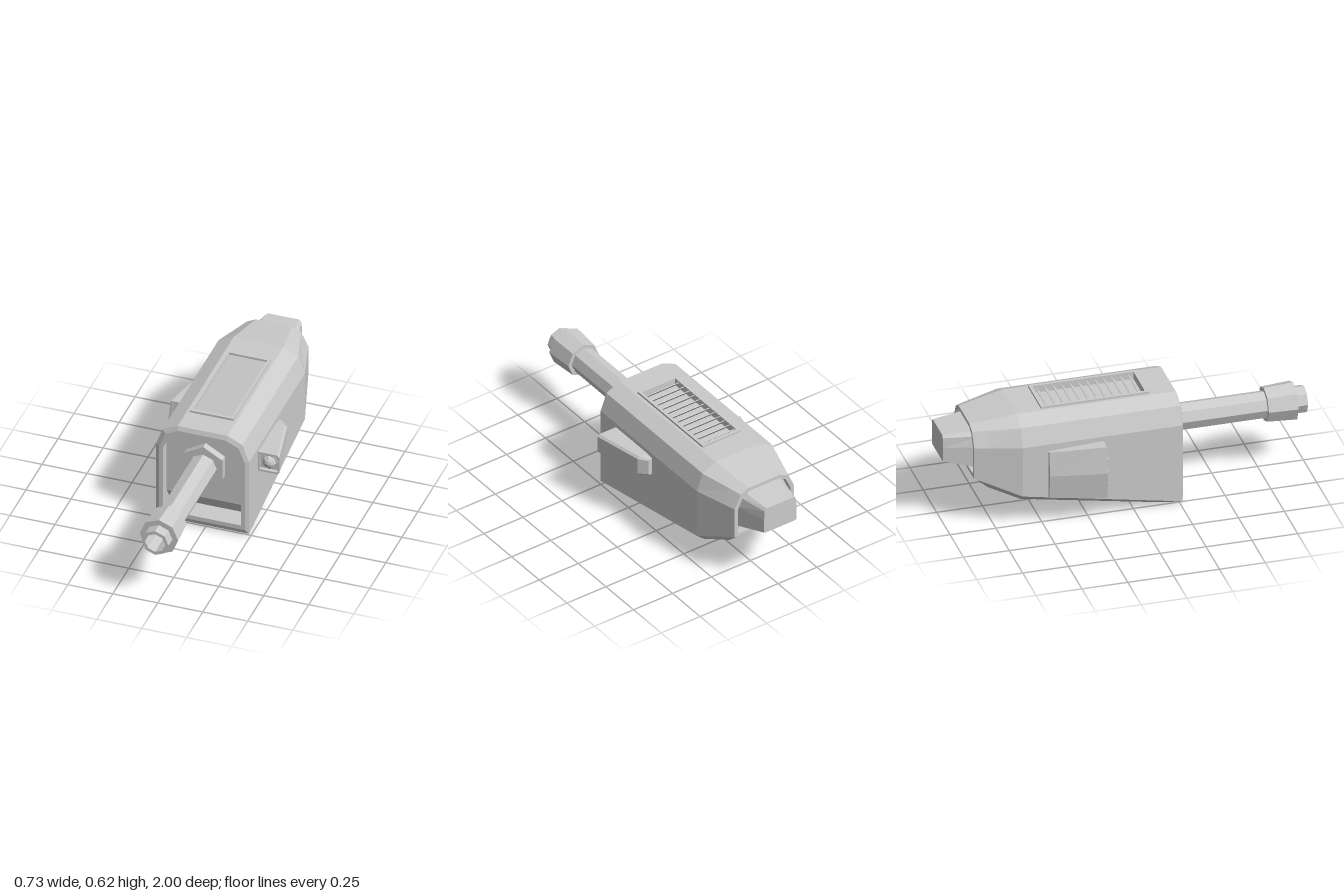
import * as THREE from 'three';

const grey = new THREE.MeshStandardMaterial({ color: 0xcccccc, flatShading: true });

function add(parent, name, geometry) {
  const mesh = new THREE.Mesh(geometry, grey);
  mesh.name = name;
  parent.add(mesh);
  return mesh;
}

// Skin closed rings of [x, y, z] points (clockwise seen from +z) and cap both ends.
function loft(rings, skip = () => false) {
  const out = [];
  const tri = (a, b, c) => out.push(...a, ...b, ...c);
  const middle = (ring) => [0, 1, 2].map((k) => ring.reduce((s, p) => s + p[k], 0) / ring.length);
  const n = rings[0].length;
  const first = rings[0], last = rings[rings.length - 1];
  const m0 = middle(first), m1 = middle(last);
  for (let i = 0; i < n; i++) {
    const j = (i + 1) % n;
    for (let r = 0; r < rings.length - 1; r++) {
      if (skip(r, i)) continue;
      const a = rings[r], b = rings[r + 1];
      tri(a[i], a[j], b[i]);
      tri(a[j], b[j], b[i]);
    }
    tri(m0, first[j], first[i]);
    tri(m1, last[i], last[j]);
  }
  const g = new THREE.BufferGeometry();
  g.setAttribute('position', new THREE.Float32BufferAttribute(out, 3));
  g.computeVertexNormals();
  return g;
}

// Half outline from top to bottom, mirrored in x; a point may carry its own z.
function mirrored(z, half) {
  const right = half.map(([x, y, pz = z]) => [x, y, pz]);
  return [...right, ...right.map(([x, y, pz]) => [-x, y, pz]).reverse()];
}

// Faceted turned part lying along +z, with a corner pointing up.
function turned(profile, sides) {
  const g = new THREE.LatheGeometry(profile.map(([r, z]) => new THREE.Vector2(r, z)), sides);
  return g.rotateX(Math.PI / 2).rotateZ(Math.PI);
}

// Rectangle in x and -z with a rectangular hole, to be laid flat.
function rectangle(path, x, z0, z1) {
  path.moveTo(-x, -z1);
  path.lineTo(x, -z1);
  path.lineTo(x, -z0);
  path.lineTo(-x, -z0);
  path.closePath();
  return path;
}
function frameShape(x, z0, z1) {
  const shape = rectangle(new THREE.Shape(), x, z0, z1);
  shape.holes.push(rectangle(new THREE.Path(), 0.106, -0.45, 0.1));
  return shape;
}

function buildHull(parent) {
  const arch = [[0.13, 0.56], [0.19, 0.53], [0.217, 0.46]];
  const shoulder = [[0.138, 0.61], [0.222, 0.57], [0.2585, 0.47]];
  const rear = [[0.092, 0.552], [0.135, 0.53], [0.168, 0.46], [0.168, 0.308], [0.14, 0.305]];
  const rings = [
    // recessed front wall, undercut, opening and rim
    mirrored(0.21, [...arch, [0.217, 0.152], [0.18, 0.152]]),
    mirrored(0.21, [...arch, [0.217, 0.065, 0.15], [0.18, 0.065, 0.15]]),
    mirrored(0.27, [...arch, [0.217, 0.065], [0.18, 0.065]]),
    mirrored(0.27, [[0.13, 0.585], [0.203, 0.55], [0.238, 0.465], [0.238, 0.04], [0.2, 0.04]]),
    // outer skin
    mirrored(0.26, [...shoulder, [0.2585, 0.015], [0.215, 0.015]]),
    mirrored(0.17, [...shoulder, [0.2585, 0.032], [0.215, 0]]),
    mirrored(-0.61, [...shoulder, [0.2585, 0.18], [0.215, 0.143]]),
    mirrored(-0.78, [[0.112, 0.584], [0.172, 0.555], [0.211, 0.47], [0.211, 0.256], [0.17, 0.218]]),
    mirrored(-0.855, [[0.1, 0.572], [0.15, 0.548], [0.19, 0.47], [0.19, 0.288], [0.16, 0.286]]),
    // rear rim and recess
    mirrored(-0.855, rear),
    mirrored(-0.815, rear),
  ];
  // the undercut only spans the bottom edge, and the roof is a separate panel
  const skip = (r, i) => (r === 0 && (i < 3 || i > 5)) || ((r === 4 || r === 5) && i === 9);
  add(parent, 'hull', loft(rings, skip));
  const roof = new THREE.ShapeGeometry(frameShape(0.138, -0.61, 0.26));
  add(parent, 'roof', roof.rotateX(-Math.PI / 2).translate(0, 0.61, 0));
}

function buildVent(parent) {
  const vent = new THREE.Group();
  vent.name = 'vent';
  parent.add(vent);
  // deep frame whose inner walls form the well
  const frame = new THREE.ExtrudeGeometry(frameShape(0.122, -0.47, 0.12), { depth: 0.05, bevelEnabled: false });
  add(vent, 'ventFrame', frame.rotateX(-Math.PI / 2).translate(0, 0.572, 0));
  add(vent, 'ventFloor', new THREE.BoxGeometry(0.23, 0.01, 0.57)).position.set(0, 0.574, -0.175);
  for (let i = 0; i < 12; i++) {
    const slat = add(vent, 'ventSlat', new THREE.BoxGeometry(0.212, 0.004, 0.046));
    slat.position.set(0, 0.6, 0.078 - i * 0.0457);
    slat.rotation.x = 0.85;
  }
}

function buildBarrel(parent) {
  const barrel = new THREE.Group();
  barrel.name = 'barrel';
  barrel.position.y = 0.377;
  parent.add(barrel);
  add(barrel, 'barrelMount', turned([[0.123, 0.2], [0.123, 0.25], [0, 0.25]], 6));
  add(barrel, 'barrelTube', turned([
    [0.075, 0.22], [0.075, 0.78], [0.097, 0.78], [0.107, 0.94], [0.075, 0.94],
    [0.075, 1], [0.056, 1], [0.056, 0.85], [0, 0.85],
  ], 8));
}

function buildNozzle(parent) {
  add(parent, 'rearNozzle', loft([
    mirrored(-0.81, [[0.112, 0.535], [0.14, 0.51], [0.152, 0.45], [0.152, 0.325], [0.12, 0.322]]),
    mirrored(-1, [[0.088, 0.52], [0.1, 0.505], [0.104, 0.45], [0.104, 0.37], [0.09, 0.366]]),
  ]));
}

// Tapered sensor housing on the +x side, with a lens in a shallow recess
function buildSensor(parent) {
  const ring = (z, inner, outer, top, bottom, cut) => [
    [inner, top, z], [outer - cut, top, z], [outer, top - cut, z],
    [outer, bottom + cut, z], [outer - cut, bottom, z], [inner, bottom, z],
  ];
  const sensor = new THREE.Group();
  sensor.name = 'sensor';
  parent.add(sensor);
  add(sensor, 'sensorHousing', loft([
    ring(0.1, 0.266, 0.366, 0.436, 0.339, 0.003),
    ring(0.122, 0.266, 0.366, 0.436, 0.339, 0.003),
    ring(0.122, 0.245, 0.377, 0.447, 0.328, 0.012),
    ring(-0.16, 0.245, 0.32, 0.447, 0.33, 0.012),
    ring(-0.205, 0.245, 0.282, 0.44, 0.34, 0.008),
  ]));
  const lens = add(sensor, 'lens', turned([
    [0.046, 0], [0.046, 0.006], [0.038, 0.006], [0.034, 0.018], [0.02, 0.03], [0, 0.036],
  ], 8));
  lens.position.set(0.316, 0.386, 0.1);
}

// Wedge-shaped lamp housing on the -x side
function buildLamps(parent) {
  const ring = (z, inner, edge, ridge, top, bottom) => [
    [inner, top, z], [inner, bottom, z], [edge, bottom, z], [ridge, 0.295, z], [edge, top, z],
  ];
  const lamps = new THREE.Group();
  lamps.name = 'lamps';
  parent.add(lamps);
  add(lamps, 'lampHousing', loft([
    ring(-0.185, -0.25, -0.317, -0.333, 0.43, 0.157),
    ring(-0.17, -0.25, -0.317, -0.333, 0.43, 0.157),
    ring(-0.17, -0.245, -0.33, -0.348, 0.445, 0.142),
    ring(-0.47, -0.245, -0.275, -0.29, 0.43, 0.16),
  ]));
  for (const y of [0.35, 0.282, 0.212]) {
    const lamp = add(lamps, 'lamp', turned([
      [0.031, 0], [0.031, 0.018], [0.026, 0.018], [0.018, 0.028], [0, 0.034],
    ], 5));
    lamp.position.set(-0.293, y, -0.185);
  }
}

export function createModel() {
  const model = new THREE.Group();
  model.name = 'cannonPod';
  // the side parts differ in width, so the hull sits slightly off centre
  const body = new THREE.Group();
  body.name = 'body';
  body.position.x = -0.0148;
  model.add(body);
  [buildHull, buildVent, buildBarrel, buildNozzle, buildSensor, buildLamps].forEach((build) => build(body));
  return model;
}
